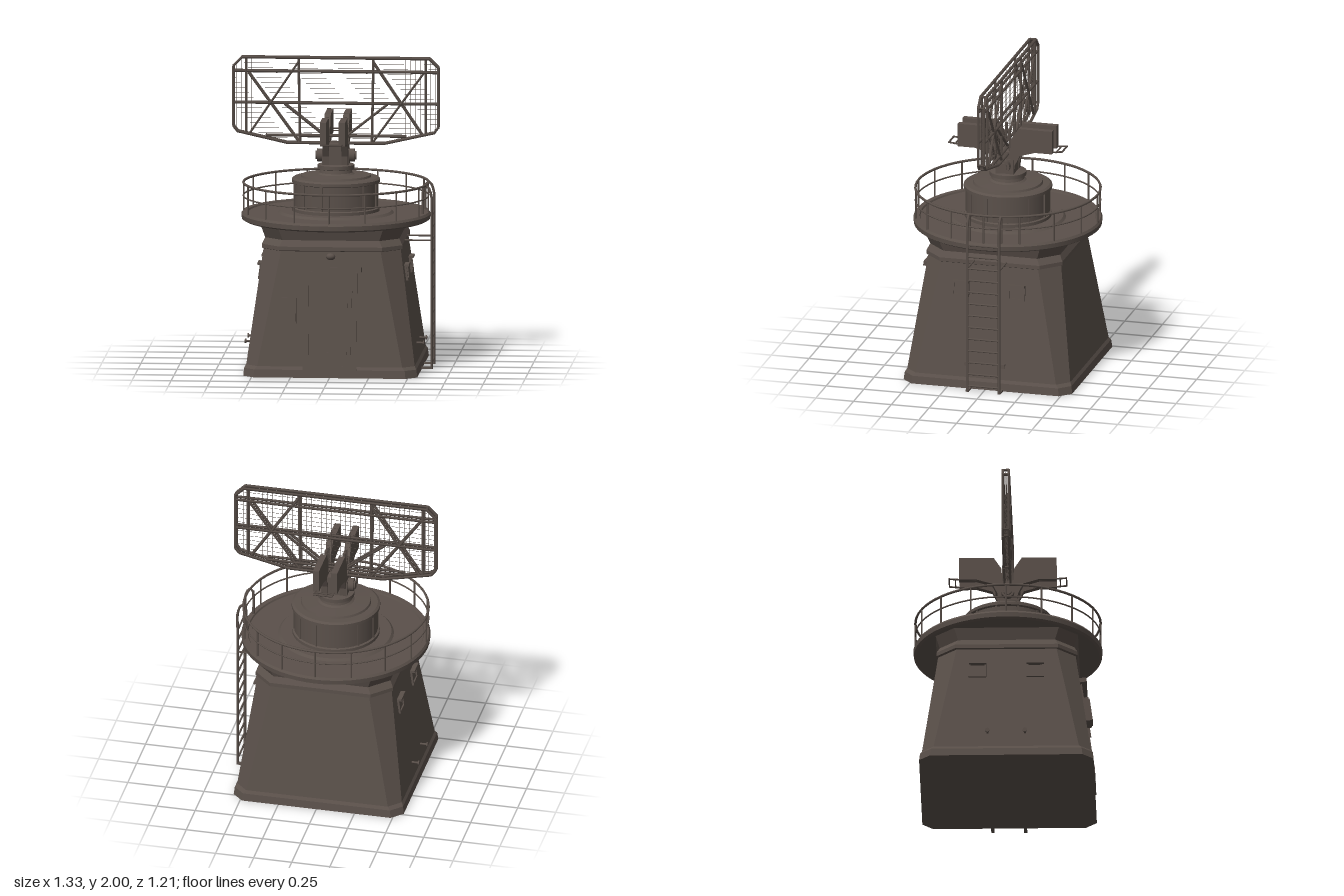
import * as THREE from 'three';
import { mergeGeometries } from 'three/addons/utils/BufferGeometryUtils.js';

const steel = new THREE.MeshStandardMaterial({ color: 0x5a504a });
steel.name = 'weathered brown grey';

const V = (x, y, z) => new THREE.Vector3(x, y, z);

// Rod between two points; 4 sides makes a square bar
function rod(a, b, r, sides = 6) {
  const d = b.clone().sub(a);
  const g = new THREE.CylinderGeometry(r, r, d.length(), sides);
  if (sides === 4) g.rotateY(Math.PI / 4);
  g.applyQuaternion(new THREE.Quaternion().setFromUnitVectors(V(0, 1, 0), d.normalize()));
  return g.translate((a.x + b.x) / 2, (a.y + b.y) / 2, (a.z + b.z) / 2);
}
const box = (w, h, d, x, y, z) => new THREE.BoxGeometry(w, h, d).translate(x, y, z);

function lathe(points, segments = 48) {
  // Each straight run gets its own lathe so profile edges stay sharp
  const runs = [];
  for (let i = 0; i < points.length - 1; i++) {
    runs.push(new THREE.LatheGeometry([points[i], points[i + 1]].map(p => new THREE.Vector2(...p)), segments));
  }
  return mergeGeometries(runs);
}

// Loft through square rings with cut corners: [y, half width, corner cut]
function loft(rings) {
  const loops = rings.map(([y, h, c]) => {
    const k = h - c;
    return [[h, -k], [h, k], [k, h], [-k, h], [-h, k], [-h, -k], [-k, -h], [k, -h]].map(([x, z]) => [x, y, z]);
  });
  const pos = [];
  for (let i = 0; i < loops.length - 1; i++) {
    for (let j = 0; j < 8; j++) {
      const n = (j + 1) % 8;
      const a = loops[i][j], b = loops[i][n], c = loops[i + 1][j], d = loops[i + 1][n];
      pos.push(...a, ...c, ...b, ...b, ...c, ...d);
    }
  }
  const g = new THREE.BufferGeometry();
  g.setAttribute('position', new THREE.Float32BufferAttribute(pos, 3));
  g.computeVertexNormals();
  return g;
}

export function createModel() {
  const model = new THREE.Group();
  const add = (name, geos, parent = model) => {
    const mesh = new THREE.Mesh(Array.isArray(geos) ? mergeGeometries(geos) : geos, steel);
    mesh.name = name;
    parent.add(mesh);
    return mesh;
  };

  // Tapered tower with plinth and flared cornice
  add('tower', loft([
    [0, 0.001, 0], [0, 0.558, 0.07], [0.05, 0.552, 0.07], [0.07, 0.54, 0.075],
    [0.8, 0.44, 0.12], [0.805, 0.45, 0.12], [0.83, 0.45, 0.12],
    [0.87, 0.43, 0.12], [0.93, 0.45, 0.12], [0.96, 0.46, 0.12], [0.96, 0.001, 0],
  ]));

  // Round deck
  add('deck', lathe([[0, 0.945], [0.585, 0.945], [0.602, 0.955], [0.605, 0.985], [0.595, 1.0],
    [0.565, 1.0], [0.56, 0.99], [0.37, 0.99], [0.355, 1.005], [0, 1.005]], 64));

  // Railing: two hoops and sixteen posts
  const rails = [[1.185, 0.008], [1.1, 0.005]].map(([y, r]) =>
    new THREE.TorusGeometry(0.592, r, 6, 64).rotateX(Math.PI / 2).translate(0, y, 0));
  for (let i = 0; i < 16; i++) {
    const a = i * Math.PI / 8, x = 0.592 * Math.cos(a), z = 0.592 * Math.sin(a);
    rails.push(rod(V(x, 0.99, z), V(x, 1.185, z), 0.006));
  }
  add('railing', rails);

  // Drum and turntable
  add('drum', lathe([[0.28, 1.0], [0.28, 1.025], [0.268, 1.03], [0.268, 1.185], [0.283, 1.19], [0.283, 1.21],
    [0.268, 1.22], [0.225, 1.222], [0.22, 1.235], [0.13, 1.24], [0, 1.24]]));
  const ribs = [];
  for (let i = 0; i < 12; i++) {
    ribs.push(box(0.012, 0.16, 0.012, 0, 1.11, 0.27).rotateY((i + 0.5) * Math.PI / 6));
  }
  add('drumRibs', ribs);
  add('pedestal', lathe([[0.125, 1.235], [0.105, 1.25], [0.1, 1.27], [0.118, 1.275], [0.118, 1.3],
    [0.08, 1.305], [0, 1.305]], 32));

  // Pivot housing and axle caps
  add('pivotHousing', [box(0.17, 0.1, 0.12, 0, 1.35, 0), box(0.1, 0.04, 0.16, 0, 1.42, 0)]);
  add('pivotCaps', [-1, 1].flatMap(s => [
    new THREE.CylinderGeometry(0.042, 0.042, 0.04, 16).rotateZ(Math.PI / 2).translate(s * 0.1, 1.36, 0),
    new THREE.CylinderGeometry(0.028, 0.028, 0.016, 12).rotateZ(Math.PI / 2).translate(s * 0.122, 1.36, 0),
  ]));

  // Two side plates with raised counterweight wings fore and aft
  const half = [[0.06, 1.3], [0.065, 1.36], [0.1, 1.43], [0.2, 1.46], [0.312, 1.46],
    [0.312, 1.612], [0.09, 1.612], [0.04, 1.535], [0.035, 1.45]];
  const outline = [...half, ...half.map(([z, y]) => [-z, y]).reverse()].map(p => new THREE.Vector2(...p));
  const plate = new THREE.ExtrudeGeometry(new THREE.Shape(outline), { depth: 0.04, bevelEnabled: false })
    .translate(0, 0, -0.02).rotateY(-Math.PI / 2);
  add('counterweightPlates', [-0.06, 0.06].map(x => plate.clone().translate(x, 0, 0)));

  // Thin end frames beyond the wings
  add('endFrames', [-1, 1].flatMap(s => [
    ...[-0.062, 0.062].map(x => rod(V(x, 1.46, s * 0.2), V(x * 0.95, 1.475, s * 0.375), 0.006, 4)),
    rod(V(-0.064, 1.476, s * 0.375), V(0.064, 1.476, s * 0.375), 0.006, 4),
    rod(V(-0.064, 1.468, s * 0.335), V(0.064, 1.468, s * 0.335), 0.005, 4),
  ]));

  // Antenna: twin frames with braces
  const antenna = new THREE.Group();
  antenna.name = 'antenna';
  model.add(antenna);
  const rim = [[-0.6, 1.988], [0.6, 1.988], [0.657, 1.93], [0.657, 1.545], [0.63, 1.51],
    [0.31, 1.438], [-0.31, 1.438], [-0.63, 1.51], [-0.657, 1.545], [-0.657, 1.93]];
  const braces = [[-0.655, 1.9, 0.655, 1.9], [-0.655, 1.695, 0.655, 1.695], [-0.45, 1.485, 0.45, 1.485]];
  for (const s of [-1, 1]) {
    braces.push([s * 0.575, 1.985, s * 0.575, 1.5], [s * 0.24, 1.985, s * 0.23, 1.44],
      [s * 0.56, 1.89, s * 0.24, 1.45], [s * 0.55, 1.5, s * 0.24, 1.96], [s * 0.33, 1.69, s * 0.07, 1.485]);
  }
  for (const z of [-0.02, 0.018]) {
    const bar = (x1, y1, x2, y2, r) => rod(V(x1, y1, z), V(x2, y2, z), r, 4);
    add('antennaRim', rim.map((p, i) => bar(...p, ...rim[(i + 1) % rim.length], 0.01)), antenna);
    add('antennaBraces', braces.map(b => bar(...b, 0.009)), antenna);
  }
  add('frameSpacers', rim.map(([x, y]) => rod(V(x, y, -0.022), V(x, y, 0.02), 0.009, 4)), antenna);
  add('antennaBrackets', [-0.06, 0.06].flatMap(x => [-1, 1].map(s =>
    rod(V(x, 1.4, s * 0.035), V(x, 1.6, s * 0.025), 0.012, 4))), antenna);

  // Fine wire mesh inside the rim
  const wires = [];
  const lowY = x => (Math.abs(x) < 0.31 ? 1.438 : 1.438 + (Math.abs(x) - 0.31) * 0.25);
  for (let i = -20; i <= 20; i++) {
    const x = i * 0.032;
    wires.push(rod(V(x, lowY(x), 0), V(x, Math.min(1.985, 2.585 - Math.abs(x)), 0), 0.0011, 4));
  }
  for (let y = 1.47; y < 1.97; y += 0.032) {
    const w = Math.min(0.65, 0.31 + (y - 1.438) * 4);
    wires.push(rod(V(-w, y, 0), V(w, y, 0), 0.0011, 4));
  }
  add('wireMesh', wires, antenna);

  // Ladder with hooped tops
  const ladder = [];
  for (const z of [-0.11, 0.1]) {
    const path = new THREE.CatmullRomCurve3([V(0.565, 0.99, z), V(0.565, 1.14, z), V(0.575, 1.183, z),
      V(0.6, 1.17, z), V(0.62, 1.11, z), V(0.62, 1.0, z), V(0.62, 0.5, z), V(0.62, 0, z)], false, 'centripetal');
    ladder.push(new THREE.TubeGeometry(path, 48, 0.009, 6));
    ladder.push(box(0.07, 0.012, 0.02, 0.59, 0.006, z), rod(V(0.44, 0.83, z), V(0.62, 0.83, z), 0.006));
  }
  for (let y = 0.04; y < 1.0; y += 0.079) ladder.push(rod(V(0.62, y, -0.11), V(0.62, y, 0.1), 0.006));
  add('ladder', ladder);

  // Sloping front fittings, laid out flat then leaned with the wall
  const front = new THREE.Group();
  front.name = 'frontFittings';
  front.position.z = 0.548;
  front.rotation.x = -0.136;
  model.add(front);
  add('doorFrame', [...[-1, 1].map(s => box(0.035, 0.62, 0.04, s * 0.155, 0.36, 0)),
    box(0.34, 0.035, 0.04, 0, 0.66, 0), box(0.34, 0.025, 0.04, 0, 0.06, 0)], front);
  add('door', [box(0.27, 0.59, 0.02, 0, 0.355, 0), box(0.22, 0.54, 0.012, 0, 0.355, 0.008)], front);
  add('doorHardware', [box(0.1, 0.03, 0.02, 0.1, 0.34, 0.018), box(0.09, 0.022, 0.02, 0, 0.15, 0.018),
    box(0.012, 0.08, 0.025, -0.085, 0.38, 0.02), ...[0.14, 0.55].map(y => box(0.05, 0.018, 0.02, 0.12, y, 0.018))], front);
  add('lintel', box(0.4, 0.03, 0.075, 0, 0.693, 0.015), front);
  add('electricalBox', [box(0.115, 0.165, 0.06, -0.27, 0.427, 0.012), box(0.1, 0.15, 0.008, -0.27, 0.427, 0.045)], front);
  add('lamp', new THREE.SphereGeometry(0.03, 16, 10).scale(1, 0.75, 0.9).translate(0, 0.775, 0.008), front);

  // Vents and low spigots on both side walls
  for (const s of [-1, 1]) {
    const side = new THREE.Group();
    side.name = s > 0 ? 'leftWallFittings' : 'rightWallFittings';
    const lean = new THREE.Group();
    lean.position.z = 0.548;
    lean.rotation.x = -0.136;
    side.add(lean);
    side.rotation.y = s * Math.PI / 2;
    model.add(side);
    for (const x of [-0.185, 0.185]) {
      add('ventFrame', [box(0.11, 0.014, 0.03, x, 0.6, 0), box(0.11, 0.014, 0.045, x, 0.69, 0.01),
        ...[-0.05, 0.05].map(d => box(0.012, 0.1, 0.03, x + d, 0.645, 0))], lean);
      add('ventPanel', box(0.1, 0.09, 0.012, x, 0.645, 0), lean);
    }
    for (const x of [-0.12, 0.12]) {
      add('spigot', [rod(V(x, 0.17, 0.5), V(x, 0.17, 0.57), 0.007, 8),
        rod(V(x, 0.17, 0.566), V(x, 0.17, 0.575), 0.015, 8)], side);
    }
  }
  return model;
}
